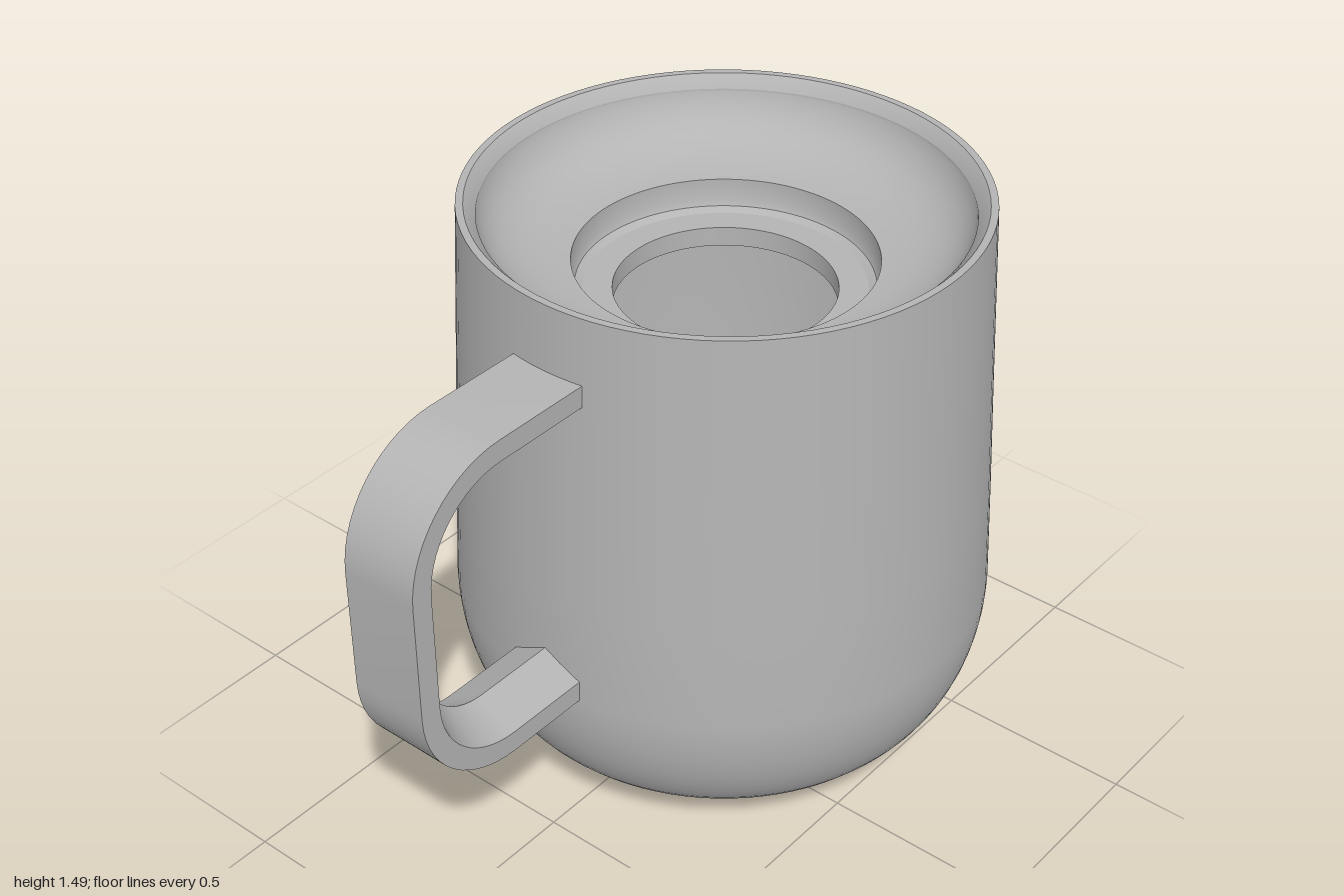
import * as THREE from 'three';
import { toCreasedNormals } from 'three/addons/utils/BufferGeometryUtils.js';

const CX = 0.158; // axis of the pot
const V = (x, y) => new THREE.Vector2(x, y);
const bodyRadius = (y) => THREE.MathUtils.lerp(0.667, 0.618, (y - 0.45) / 1.035);

// Skin a list of closed rings of [x, y, z] points
function loft(rings) {
  const n = rings[0].length, index = [];
  for (let k = 0; k < rings.length - 1; k++) {
    for (let i = 0; i < n; i++) {
      const a = k * n + i, b = k * n + (i + 1) % n;
      index.push(a, b, b + n, a, b + n, a + n);
    }
  }
  const g = new THREE.BufferGeometry();
  g.setAttribute('position', new THREE.Float32BufferAttribute(rings.flat(2), 3));
  g.setIndex(index);
  return toCreasedNormals(g, 0.6);
}

// Upright slot outline: [u, y] pairs, u pointing to -z
function slot(r) {
  const pts = [];
  for (const [start, dy] of [[0, 0.08], [Math.PI, -0.08]]) {
    for (let i = 0; i <= 20; i++) {
      const a = start + Math.PI * i / 20;
      pts.push([r * Math.cos(a), 1.12 + dy + r * Math.sin(a)]);
    }
  }
  return pts;
}

function bodyGeometry() {
  const bezier = (...p) => (p.length === 4 ? new THREE.CubicBezierCurve(...p)
    : new THREE.QuadraticBezierCurve(...p)).getPoints(16);
  const profile = [
    // domed underside and foot
    ...bezier(V(0, 0.13), V(0.22, 0.13), V(0.317, 0)),
    V(0.358, 0), V(0.358, 0.03), V(0.363, 0.043), V(0.373, 0.051),
    // rounded base and tapering wall
    ...bezier(V(0.385, 0.055), V(0.58, 0.06), V(0.668, 0.25), V(0.667, 0.45)),
    V(0.655, 0.72), V(0.641, 1.0), V(0.618, 1.485),
    // rim, chamfer and dished top
    V(0.60, 1.485), V(0.573, 1.455),
    ...bezier(V(0.573, 1.45), V(0.54, 1.335), V(0.36, 1.32)),
    // stepped opening
    V(0.36, 1.265), V(0.353, 1.25), V(0.335, 1.24), V(0.265, 1.24), V(0.265, 1.19),
    // hollow inside
    V(0.58, 1.22), V(0.605, 0.45),
    ...bezier(V(0.6, 0.4), V(0.55, 0.16), V(0, 0.16)),
  ];
  return toCreasedNormals(new THREE.LatheGeometry(profile, 96), 0.45);
}

function spoutGeometry() {
  const rings = [], R = 0.09;
  // fillet growing out of the wall
  for (let k = 0; k <= 10; k++) {
    const t = Math.PI / 2 * k / 10;
    rings.push(slot(0.115 + R * (1 - Math.sin(t))).map(([u, y]) => {
      const wall = CX + Math.sqrt(bodyRadius(y) ** 2 - u * u);
      return [wall - 0.004 + R * (1 - Math.cos(t)), y, -u];
    }));
  }
  // slanted tip, then the tapering inner channel
  const tipX = (y) => 1 - 0.02 * (y - 0.925) / 0.39;
  for (const r of [0.115, 0.1]) rings.push(slot(r).map(([u, y]) => [tipX(y), y, -u]));
  rings.push(slot(0.07).map(([u, y]) => [0.83, y, -u]));
  return loft(rings);
}

function handleGeometry() {
  const section = [[0, 0.1], [0, -0.1], [0.055, -0.1], [0.11, 0], [0.055, 0.1]];
  const ring = (cx, cy, a) => section.map(([d, z]) =>
    [cx + (0.28 - d) * Math.cos(a), cy + (0.28 - d) * Math.sin(a), z]);
  const rings = [ring(-0.44, 1.04, Math.PI / 2)];
  for (const [cy, start] of [[1.04, Math.PI / 2], [0.735, Math.PI]]) {
    for (let i = 0; i <= 14; i++) rings.push(ring(-0.72, cy, start + Math.PI / 2 * i / 14));
  }
  rings.push(ring(-0.44, 0.735, Math.PI * 1.5));
  return loft(rings);
}

export function createModel() {
  const model = new THREE.Group();
  model.name = 'pot';
  const grey = new THREE.MeshStandardMaterial({ color: 0xb4b4b4, side: THREE.DoubleSide });
  grey.name = 'grey';
  const add = (name, geometry, x = 0, y = 0) => {
    const mesh = new THREE.Mesh(geometry, grey);
    mesh.name = name;
    mesh.position.set(x, y, 0);
    model.add(mesh);
  };

  add('body', bodyGeometry(), CX);
  add('spout', spoutGeometry());
  add('handle', handleGeometry());

  // back of the spout channel with its round outlet
  const plate = new THREE.Shape(slot(0.07).map(([u, y]) => V(u, y)));
  plate.holes.push(new THREE.Path().absarc(0, 1.2, 0.067, 0, Math.PI * 2, true));
  add('spoutFloor', new THREE.ShapeGeometry(plate, 24).rotateY(Math.PI / 2), 0.83);
  add('outlet', new THREE.CylinderGeometry(0.067, 0.067, 0.06, 32, 1, true)
    .rotateZ(Math.PI / 2), 0.8, 1.2);
  return model;
}
